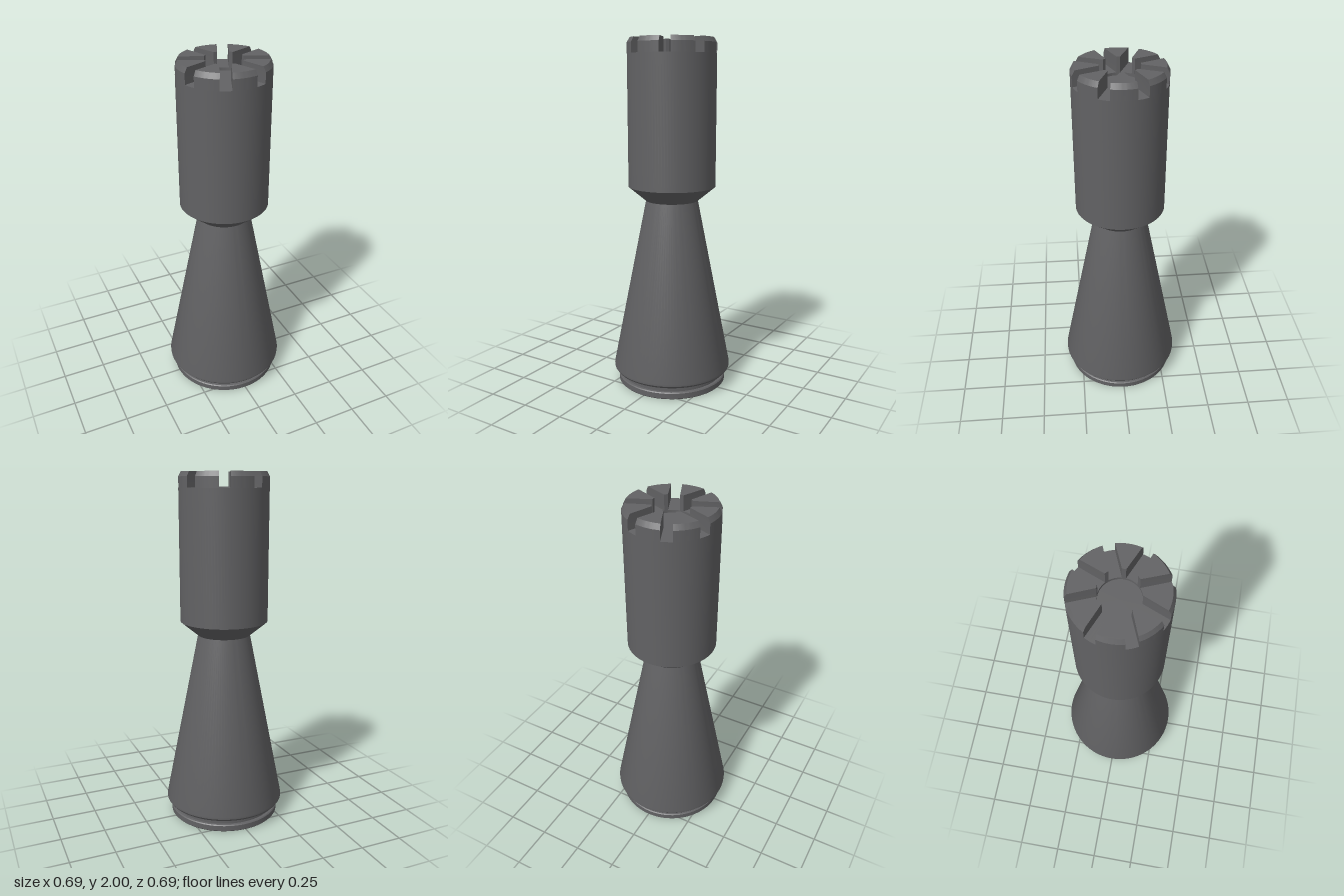
import * as THREE from 'three';
import { toCreasedNormals } from 'three/addons/utils/BufferGeometryUtils.js';

const RIM = 0.25, WELL = 0.105, FLOOR = 1.915, SLOT = 0.031;

const grey = new THREE.MeshStandardMaterial({ color: 0x626264 });
grey.name = 'dark grey';

function turned(name, profile) {
  const points = profile.map(([r, y]) => new THREE.Vector2(r, y));
  const mesh = new THREE.Mesh(toCreasedNormals(new THREE.LatheGeometry(points, 96), 0.4), grey);
  mesh.name = name;
  return mesh;
}

// One battlement block: a sector cut by two parallel-sided slots, with a chamfered outer rim
function merlonGeometry() {
  const half = (r) => Math.PI / 8 - Math.asin(SLOT / r);
  const up = Math.PI / 2, a = half(RIM), b = half(WELL);
  const shape = new THREE.Shape();
  shape.absarc(0, 0, RIM, up - a, up + a, false);
  shape.absarc(0, 0, WELL, up + b, up - b, true);
  shape.closePath();

  const height = 2 - FLOOR;
  const geo = new THREE.ExtrudeGeometry(shape, {
    depth: height, steps: 2, bevelEnabled: false, curveSegments: 8,
  });
  const pos = geo.attributes.position;
  for (let i = 0; i < pos.count; i++) {
    const x = pos.getX(i), y = pos.getY(i), z = pos.getZ(i);
    if (z > height * 0.25 && z < height * 0.75) pos.setZ(i, height - 0.027);
    if (z > height * 0.75 && Math.hypot(x, y) > 0.2) pos.setXY(i, x * 0.94, y * 0.94);
  }
  geo.rotateX(-Math.PI / 2);
  return toCreasedNormals(geo, 0.4);
}

export function createModel() {
  const model = new THREE.Group();
  model.name = 'rook';

  // Grooved foot
  model.add(turned('foot', [
    [0, 0], [0.313, 0], [0.318, 0.005], [0.318, 0.035], [0.313, 0.04],
    [0.298, 0.04], [0.298, 0.058], [0.318, 0.06], [0.318, 0.075], [0.3, 0.078],
  ]));

  // Tapering skirt
  model.add(turned('skirt', [
    [0.3, 0.076], [0.335, 0.078], [0.344, 0.09], [0.345, 0.103], [0.15, 1.09],
  ]));

  // Flared tower with a round well in its top
  model.add(turned('tower', [
    [0.15, 1.09], [RIM, 1.173], [RIM, FLOOR], [WELL, FLOOR], [WELL, 1.9], [0, 1.9],
  ]));

  // Ring of eight battlements
  const battlements = new THREE.Group();
  battlements.name = 'battlements';
  const geo = merlonGeometry();
  for (let i = 0; i < 8; i++) {
    const merlon = new THREE.Mesh(geo, grey);
    merlon.name = 'merlon';
    merlon.position.y = FLOOR;
    merlon.rotation.y = (i * Math.PI) / 4;
    battlements.add(merlon);
  }
  model.add(battlements);
  return model;
}
